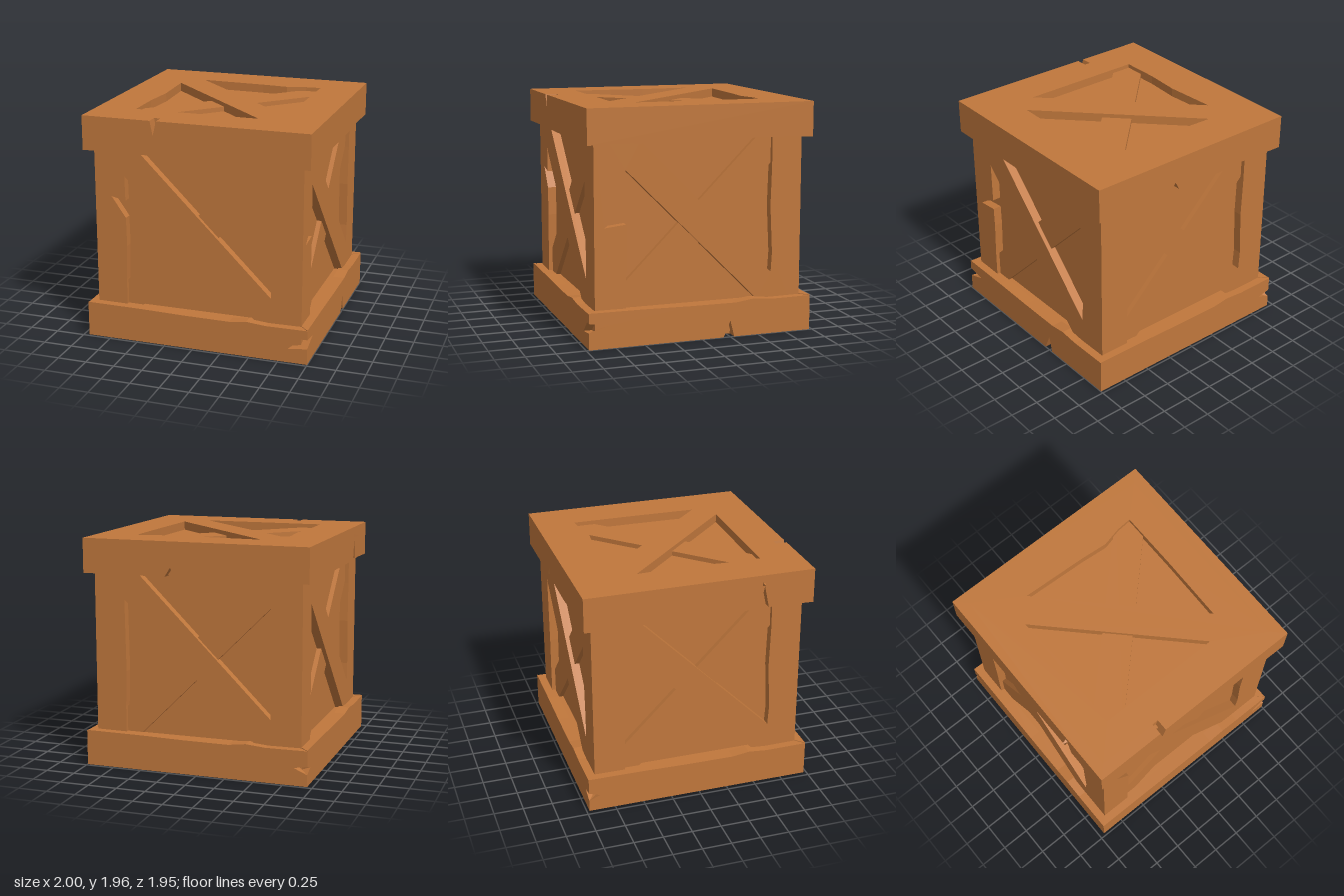
import * as THREE from 'three';

const H = 0.976;      // half width of the bands
const BAND_T = 0.1;   // band thickness
const P = 0.905;      // half width over the posts
const DEPTH = 0.075;  // recess depth of the panels
const MID = 0.98;     // height of the panel centres
const TOP = 1.956;

const toPoints = (list) => list.map(([x, y]) => new THREE.Vector2(x, y));

// Extrude an outline along z; with a mitre, outer ends are pulled in at the back
function slab(outline, holes, depth, half) {
  const shape = new THREE.Shape(toPoints(outline));
  holes.forEach((h) => shape.holes.push(new THREE.Path(toPoints(h))));
  const geo = new THREE.ExtrudeGeometry(shape, { depth, bevelEnabled: false });
  if (half) {
    const pos = geo.attributes.position;
    for (let i = 0; i < pos.count; i++) {
      const x = pos.getX(i);
      if (pos.getZ(i) < depth / 2 && Math.abs(x) > half - 0.001) {
        pos.setX(i, Math.sign(x) * (half - depth));
      }
    }
    geo.computeVertexNormals();
  }
  return geo;
}

export function createModel() {
  const wood = new THREE.MeshStandardMaterial({ color: 0xc0773c });
  wood.name = 'wood';
  const model = new THREE.Group();
  model.name = 'crate';

  const add = (parent, name, geo, x = 0, y = 0, z = 0) => {
    const mesh = new THREE.Mesh(geo, wood);
    mesh.name = name;
    mesh.position.set(x, y, z);
    parent.add(mesh);
    return mesh;
  };

  // Recessed panels and floor
  add(model, 'core', new THREE.BoxGeometry(1.66, TOP - DEPTH - 0.02, 1.66), 0, (TOP - DEPTH + 0.02) / 2, 0);
  add(model, 'floor', new THREE.BoxGeometry(1.754, 0.1, 1.754), 0, 0.05, 0);

  // Splits in the edge of the left post, per side
  const postSplits = [
    [[-0.635, 0.25], [-0.76, 0.28], [-0.635, 0.1]],
    [[-0.635, 0.11], [-0.74, 0.06], [-0.82, 0], [-0.635, 0.02]],
    [], [],
  ];

  // Chips along the band edges, per side; ends are listed for left and right
  const lowerBand = [
    { right: [[H, 0.14], [0.81, 0.12], [0.92, 0.22], [H, 0.22]] },
    { left: [[-H, 0.22], [-0.8, 0.195], [-H, 0.14]], bottom: [[0.19, 0], [0.25, 0.14], [0.285, 0]] },
    { right: [[H, 0.1], [0.86, 0.15], [H, 0.17]] },
    { left: [[-H, 0.17], [-0.88, 0.14], [-H, 0.1]] },
  ];
  const upperBand = [
    { top: [[-0.32, TOP], [-0.35, 1.83], [-0.375, TOP]] },
    {},
    { bottom: [[-0.25, 1.662], [-0.2, 1.74], [-0.16, 1.668]] },
    { bottom: [[0.49, 1.665], [0.54, 1.86], [0.58, 1.668]] },
  ];

  for (let k = 0; k < 4; k++) {
    const side = new THREE.Group();
    side.name = ['frontSide', 'leftSide', 'backSide', 'rightSide'][k];
    side.rotation.y = (k * Math.PI) / 2;
    model.add(side);

    // Posts joined by the flush diagonal, with an opening on each side of it
    const upperHole = [[-0.515, 0.69], [0.64, 0.69], [0.64, 0.45], [0.63, 0.1],
      [0.65, -0.3], [0.64, -0.465]];
    const lowerHole = [[-0.64, 0.465], ...postSplits[k], [-0.63, -0.15],
      [-0.64, -0.45], [-0.64, -0.69], [0.515, -0.69]];
    const frame = [[-P, -0.95], [P, -0.95], [P, 0.9], [-P, 0.9]];
    add(side, 'postsAndBrace', slab(frame, [upperHole, lowerHole], DEPTH, P), 0, MID, P - DEPTH);

    // Lower crossing diagonal
    const brace = add(side, 'crossBrace', new THREE.BoxGeometry(1.9, 0.25, 0.04), 0, MID, P - DEPTH + 0.02);
    brace.rotation.z = Math.PI / 4;

    // Bands with a wavy inner edge
    const lo = lowerBand[k];
    const lowOutline = [[-H, 0], ...(lo.bottom || []), [H, 0], ...(lo.right || []),
      [H, 0.3], [0.62, 0.297], [0.45, 0.312], [0.3, 0.292], [-0.1, 0.294], [-0.5, 0.302], [-H, 0.305],
      ...(lo.left || [])];
    add(side, 'lowerBand', slab(lowOutline, [], BAND_T, H), 0, 0, H - BAND_T);

    const up = upperBand[k];
    const wave = [[-0.6, 1.665], ...(up.bottom || []), [0.3, 1.66], [0.5, 1.675], [0.7, 1.668]]
      .sort((a, b) => a[0] - b[0]);
    const upOutline = [[-H, 1.662], ...wave, [H, 1.66], [H, TOP], ...(up.top || []), [-H, TOP]];
    add(side, 'upperBand', slab(upOutline, [], BAND_T, H), 0, 0, H - BAND_T);
  }

  // Lid frame with its flush diagonal and a lower crossing one
  const lid = new THREE.Group();
  lid.name = 'lid';
  lid.rotation.x = -Math.PI / 2;
  lid.position.y = TOP - DEPTH;
  model.add(lid);
  const L = H - BAND_T;
  const backHole = [[-0.47, 0.63], [0.1, 0.605], [0.33, 0.585], [0.5, 0.625], [0.63, 0.635],
    [0.63, 0.1], [0.62, -0.465]];
  const frontHole = [[-0.635, 0.44], [-0.61, 0], [-0.635, -0.3], [-0.635, -0.63], [0.44, -0.63]];
  add(lid, 'lidFrame', slab([[-L, -L], [L, -L], [L, L], [-L, L]], [backHole, frontHole], DEPTH));
  add(lid, 'lidCrossBrace', new THREE.BoxGeometry(1.9, 0.25, 0.04), 0, 0, 0.02).rotation.z = Math.PI / 4;

  // Splinter standing out of the upper band
  const splinter = add(model, 'splinter', new THREE.ConeGeometry(0.035, 0.1, 3).toNonIndexed(), -H + 0.004, 1.88, 0.53);
  splinter.geometry.computeVertexNormals();
  splinter.rotation.z = Math.PI / 2;

  // Offset so that the splinter is included in the centring
  model.children.forEach((c) => { c.position.x += 0.022; });
  return model;
}
